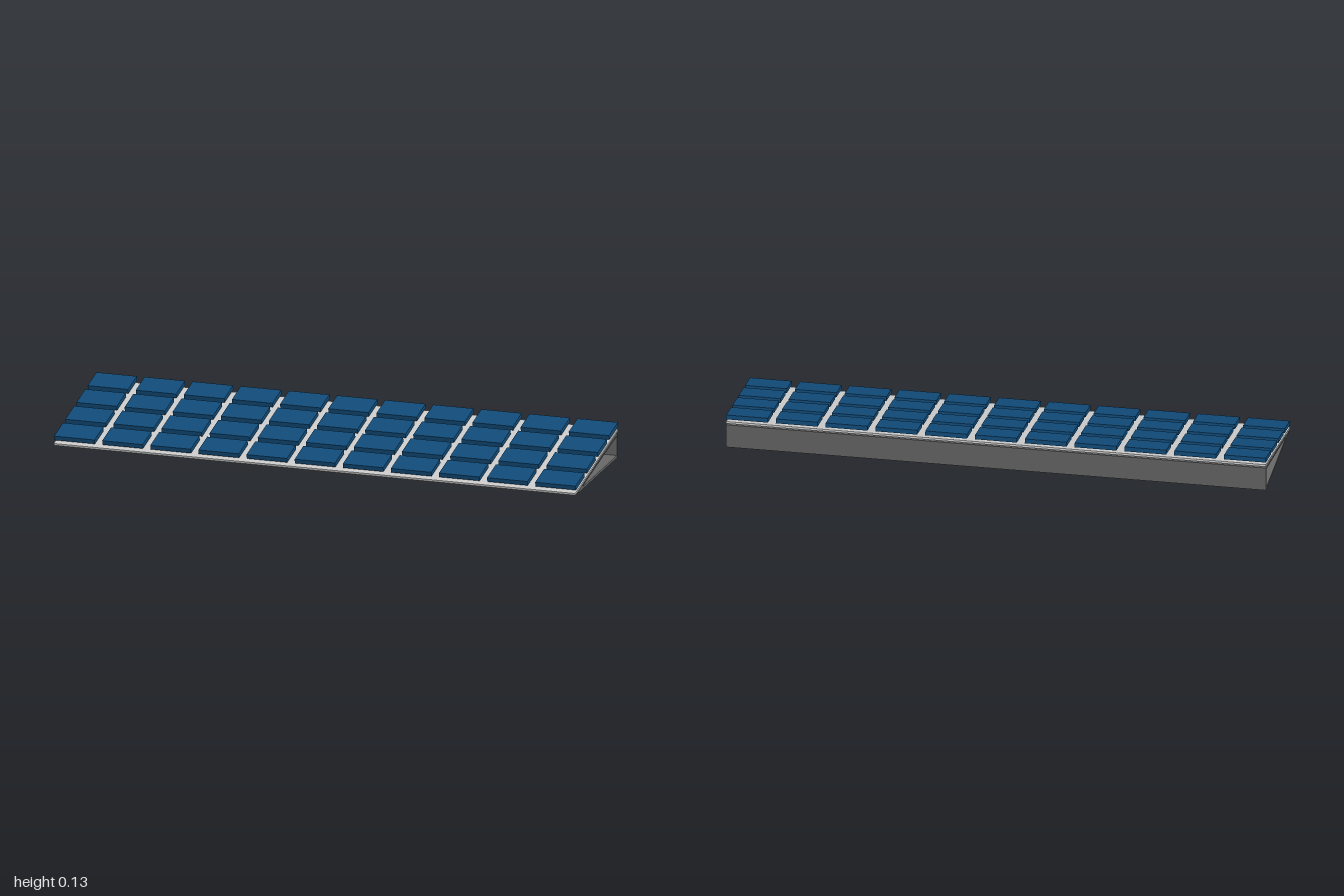
import * as THREE from 'three';

const TILT = 0.191;
const COLS = 11, ROWS = 4;

function material(color) {
  return new THREE.MeshStandardMaterial({ color });
}

function box(name, size, position, mat, parent) {
  const mesh = new THREE.Mesh(new THREE.BoxGeometry(...size), mat);
  mesh.name = name;
  mesh.position.set(...position);
  parent.add(mesh);
  return mesh;
}

function polygon(Type, points) {
  return new Type(points.map(([x, y]) => new THREE.Vector2(x, y)));
}

export function createModel() {
  const model = new THREE.Group();
  model.name = 'solarPanelArray';

  // Hollow wedge running the full width: floor, back wall and sloping top, open at both ends.
  // The profile is drawn as (-z, y) and turned so that its depth runs along x.
  const profile = polygon(THREE.Shape, [[-0.2525, 0], [0.2465, 0], [0.2465, 0.091]]);
  profile.holes.push(polygon(THREE.Path, [[-0.175, 0.009], [0.2395, 0.084], [0.2395, 0.009]]));
  const wedge = new THREE.ExtrudeGeometry(profile, { depth: 2, bevelEnabled: false });
  wedge.translate(0, 0, -1);
  wedge.rotateY(Math.PI / 2);
  const stand = new THREE.Mesh(wedge, material(0x666666));
  stand.name = 'wedgeStand';
  model.add(stand);

  // Everything above the stand shares one tilt, low at the front
  const deck = new THREE.Group();
  deck.name = 'tiltedDeck';
  deck.position.set(0, 0.0545, 0.001);
  deck.rotation.x = TILT;
  model.add(deck);

  box('backingBoard', [2, 0.0075, 0.516], [0, 0, 0], material(0xcccccc), deck);

  // Grid of separate panels held just above the board
  const panels = new THREE.Group();
  panels.name = 'panels';
  panels.position.set(0, 0.021, -0.006);
  deck.add(panels);
  const blue = material(0x104a78);
  const width = 0.155, pitchX = (2 - width) / (COLS - 1), pitchZ = 0.1344;
  for (let r = 0; r < ROWS; r++) {
    for (let c = 0; c < COLS; c++) {
      const x = (c - (COLS - 1) / 2) * pitchX;
      const z = (r - (ROWS - 1) / 2) * pitchZ;
      box('panel', [width, 0.0165, 0.106], [x, 0, z], blue, panels);
    }
  }
  return model;
}
